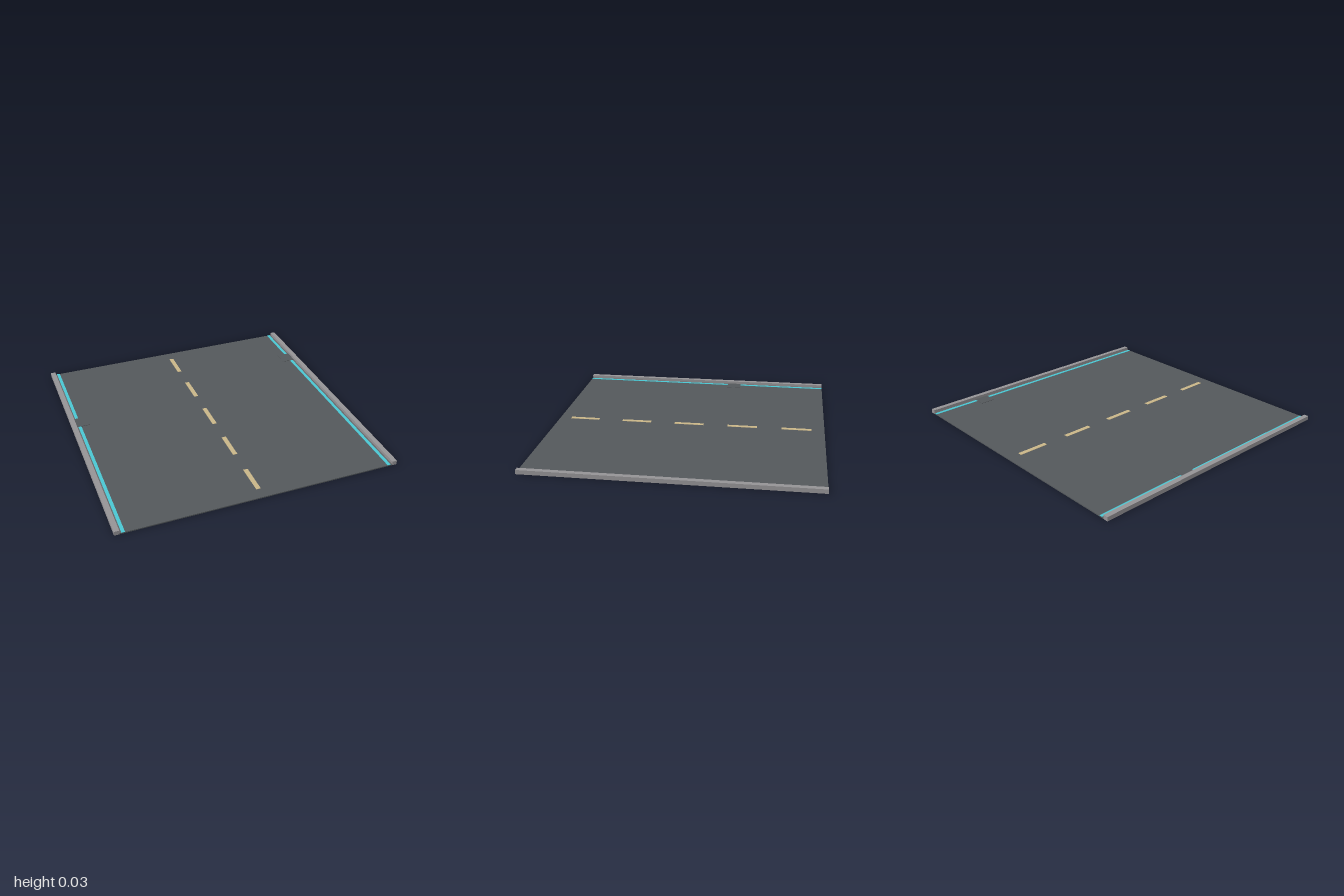
import * as THREE from 'three';

export function createModel() {
  const group = new THREE.Group();
  const mat = (name, color) => {
    const m = new THREE.MeshStandardMaterial({ color });
    m.name = name;
    return m;
  };
  const asphalt = mat('asphalt', 0x54585b);
  const concrete = mat('concrete', 0x959396);
  const gutterGrey = mat('gutter grey', 0x656668);
  const cyan = mat('cyan paint', 0x4ac6d2);
  const sand = mat('sand paint', 0xc9b588);

  // Box given by its limits on each axis
  const box = (name, material, [x0, x1], [y0, y1], [z0, z1]) => {
    const mesh = new THREE.Mesh(new THREE.BoxGeometry(x1 - x0, y1 - y0, z1 - z0), material);
    mesh.position.set((x0 + x1) / 2, (y0 + y1) / 2, (z0 + z1) / 2);
    mesh.name = name;
    group.add(mesh);
  };

  const top = 0.008; // road surface height
  box('roadSlab', asphalt, [-0.965, 0.965], [0, top], [-1, 1]);

  // Dashed centre line
  for (let i = -2; i <= 2; i++) {
    const z = i * 0.4 + 0.005;
    box('centreDash', sand, [-0.016, 0.016], [top, top + 0.002], [z - 0.11, z + 0.11]);
  }

  // Kerb, gutter, edge line and raised road patch on each side
  for (const [side, label, gap] of [[-1, 'right', [-0.31, -0.2]], [1, 'left', [-0.64, -0.53]]]) {
    const span = (a, b) => (side < 0 ? [-b, -a] : [a, b]);
    box(label + 'Kerb', concrete, span(0.965, 1), [0, 0.03], [-1, 1]);
    box(label + 'Patch', asphalt, span(0.867, 0.965), [top, top + 0.003], gap);
    for (const z of [[-1, gap[0]], [gap[1], 1]]) {
      box(label + 'Gutter', gutterGrey, span(0.953, 0.965), [top, top + 0.001], z);
      box(label + 'EdgeLine', cyan, span(0.93, 0.953), [top, top + 0.002], z);
    }
  }
  return group;
}
